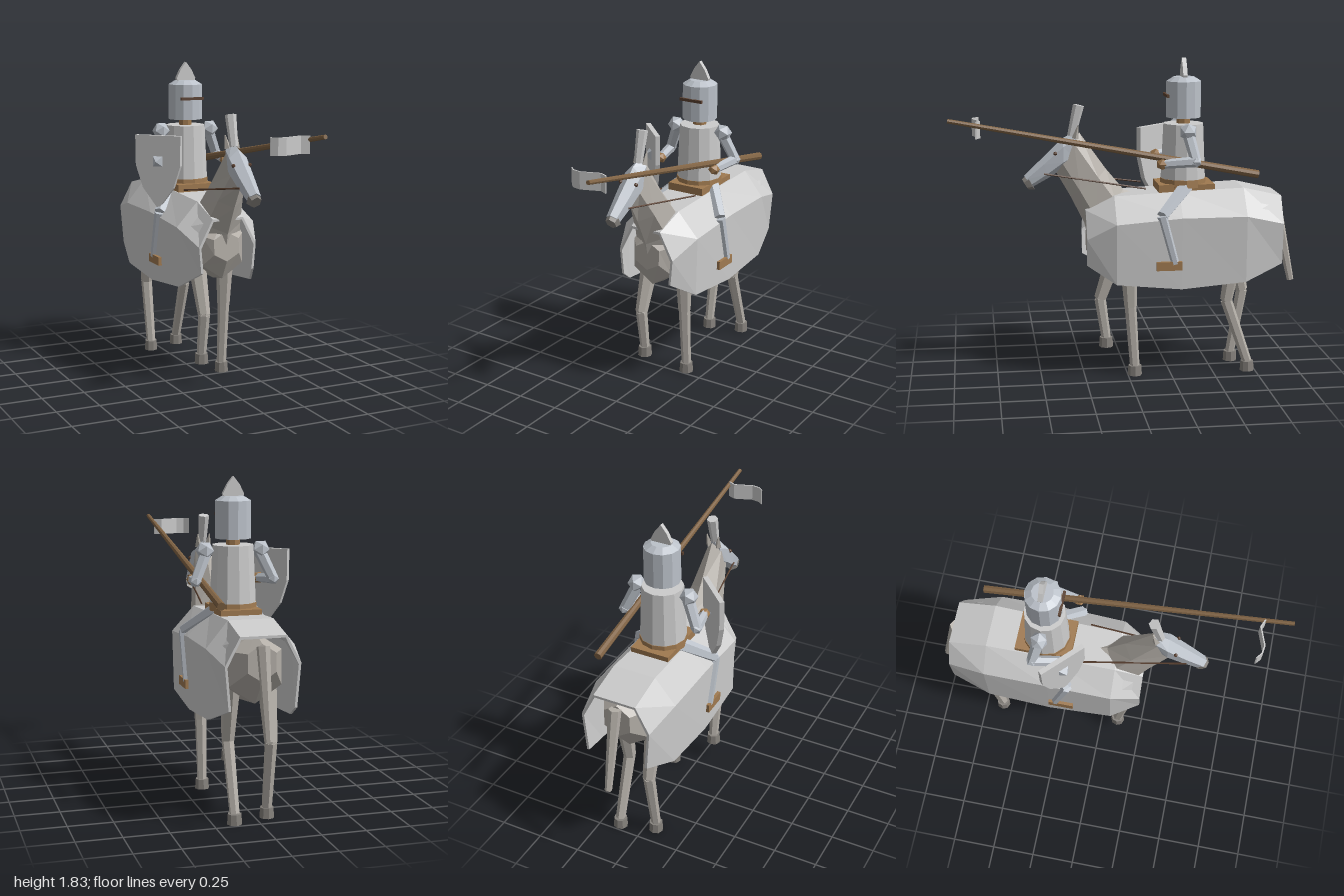
import * as THREE from 'three';

const mat = (color, side = THREE.FrontSide) =>
  new THREE.MeshStandardMaterial({ color, flatShading: true, side });
const GREY = mat(0xcccccc), CLOTH = mat(0xcccccc, THREE.DoubleSide);
const COAT = mat(0xb4afa8), HOOF = mat(0x85817c), STEEL = mat(0xbcc2ca);
const LEATHER = mat(0xa07a50), WOOD = mat(0x806344), DARK = mat(0x5a4030);
const V = (x, y, z) => new THREE.Vector3(x, y, z);

function add(parent, name, geometry, material, x = 0, y = 0, z = 0) {
  const mesh = new THREE.Mesh(geometry, material);
  mesh.name = name;
  mesh.position.set(x, y, z);
  parent.add(mesh);
  return mesh;
}

// Tapered rod between two points
function rod(parent, name, a, b, ra, rb, material, sides = 6) {
  const dir = b.clone().sub(a);
  const mesh = add(parent, name, new THREE.CylinderGeometry(rb, ra, dir.length(), sides), material);
  mesh.position.copy(a).addScaledVector(dir, 0.5);
  mesh.quaternion.setFromUnitVectors(V(0, 1, 0), dir.normalize());
  return mesh;
}

// Skin through closed rings of equal, even point count, with end caps
function loft(rings) {
  const n = rings[0].length, last = (rings.length - 1) * n, index = [];
  for (let i = 0; i < last; i += n) {
    for (let j = 0; j < n; j++) {
      const a = i + j, b = i + (j + 1) % n;
      index.push(a, b, b + n, a, b + n, a + n);
    }
  }
  for (let j = 0; j < n / 2 - 1; j++) {
    const [a, b, c, d] = [j, j + 1, n - 2 - j, n - 1 - j];
    index.push(a, c, b, a, d, c);
    index.push(last + a, last + b, last + c, last + a, last + c, last + d);
  }
  const g = new THREE.BufferGeometry().setFromPoints(rings.flat());
  g.setIndex(index);
  const flat = g.toNonIndexed();
  flat.computeVertexNormals();
  return flat;
}

// Six-sided ring from a lower point, an upper point and a half width
function ring([pz, py, qz, qy, w]) {
  return Array.from({ length: 6 }, (_, i) => {
    const t = Math.PI / 2 + i * Math.PI / 3, s = Math.sin(t);
    return V(Math.cos(t) * w * 1.12, (py + qy + (qy - py) * s) / 2, (pz + qz + (qz - pz) * s) / 2);
  });
}

function buildHorse(root) {
  const horse = new THREE.Group();
  horse.name = 'horse';
  root.add(horse);

  add(horse, 'body', loft([
    [-0.86, 0.80, -0.86, 1.00, 0.08], [-0.74, 0.66, -0.74, 1.04, 0.15],
    [-0.30, 0.60, -0.30, 1.04, 0.17], [0.05, 0.60, 0.05, 1.02, 0.15],
    [0.17, 0.62, 0.17, 0.96, 0.13], [0.23, 0.73, 0.22, 0.90, 0.08],
  ].map(ring)), COAT);
  add(horse, 'neck', loft([
    [0.21, 0.76, -0.07, 1.05, 0.13], [0.24, 0.89, 0.015, 1.08, 0.11],
    [0.32, 1.05, 0.115, 1.20, 0.08], [0.40, 1.19, 0.265, 1.41, 0.045],
  ].map(ring)), COAT);
  add(horse, 'head', loft([
    [0.31, 1.23, 0.28, 1.42, 0.042], [0.36, 1.205, 0.36, 1.38, 0.055],
    [0.44, 1.155, 0.48, 1.265, 0.046], [0.53, 1.105, 0.58, 1.17, 0.034],
  ].map(ring)), STEEL);
  add(horse, 'muzzle', loft([
    [0.52, 1.09, 0.565, 1.175, 0.037], [0.555, 1.09, 0.592, 1.15, 0.03],
  ].map(ring)), HOOF);
  rod(horse, 'headCrest', V(0, 1.39, 0.31), V(0, 1.565, 0.268), 0.024, 0.032, GREY);
  rod(horse, 'tail', V(0, 0.99, -0.875), V(0, 0.515, -0.98), 0.036, 0.02, COAT);

  for (const s of [-1, 1]) {
    rod(horse, 'ear', V(s * 0.028, 1.38, 0.29), V(s * 0.036, 1.455, 0.275), 0.02, 0.003, COAT, 4);
    add(horse, 'eye', new THREE.IcosahedronGeometry(0.012), DARK, s * 0.05, 1.3, 0.405);
    rod(horse, 'rein', V(s * 0.045, 1.185, 0.47), V(s * 0.115, 1.1, -0.1), 0.005, 0.005, DARK, 4);
  }

  // Legs: side, hip, knee and fetlock as [y, z]
  for (const [name, s, hip, knee, foot] of [
    ['frontLegRaised', -1, [0.76, 0.02], [0.41, 0.14], [0.17, 0.105]],
    ['frontLeg', 1, [0.76, 0.0], [0.41, -0.015], [0.055, -0.04]],
    ['backLeg', -1, [0.80, -0.62], [0.435, -0.71], [0.055, -0.645]],
    ['backLeg', 1, [0.80, -0.64], [0.43, -0.575], [0.055, -0.705]],
  ]) {
    const leg = new THREE.Group();
    leg.name = name;
    horse.add(leg);
    const [h, k, f] = [hip, knee, foot].map(([y, z]) => V(s * 0.1, y, z));
    rod(leg, 'upperLeg', h, k, 0.056, 0.036, COAT);
    add(leg, 'knee', new THREE.IcosahedronGeometry(0.033), COAT, k.x, k.y, k.z);
    rod(leg, 'lowerLeg', k, f, 0.034, 0.028, COAT);
    add(leg, 'hoof', new THREE.CylinderGeometry(0.038, 0.042, 0.058, 8), HOOF, f.x, f.y - 0.026, f.z);
  }

  // Draped cloth: z, top y, top half, fold y, fold half, hem y, hem half
  const cloth = [
    [-0.88, 1.045, 0.125, 0.895, 0.205, 0.66, 0.185],
    [-0.66, 1.095, 0.125, 0.95, 0.245, 0.57, 0.235],
    [-0.29, 1.08, 0.12, 0.95, 0.248, 0.54, 0.24],
    [0.08, 1.06, 0.115, 0.92, 0.243, 0.575, 0.235],
    [0.24, 0.98, 0.095, 0.825, 0.178, 0.675, 0.165],
  ].map(([z, ty, tx, fy, fx, hy, hx]) => {
    const t = 0.014;
    const outer = [V(hx, hy, z), V(fx, fy, z), V(tx, ty, z), V(-tx, ty, z), V(-fx, fy, z), V(-hx, hy, z)];
    const inner = [V(-hx + t, hy, z), V(-fx + t, fy - t / 2, z), V(-tx + t / 2, ty - t, z),
      V(tx - t / 2, ty - t, z), V(fx - t, fy - t / 2, z), V(hx - t, hy, z)];
    return [...outer, ...inner];
  });
  add(horse, 'horseCloth', loft(cloth), CLOTH);
  add(horse, 'saddle', new THREE.BoxGeometry(0.23, 0.045, 0.32), LEATHER, 0, 1.095, -0.335);
}

function buildRider(root) {
  const rider = new THREE.Group();
  rider.name = 'rider';
  root.add(rider);
  const z = -0.33;

  add(rider, 'belt', new THREE.CylinderGeometry(0.132, 0.135, 0.045, 12), LEATHER, 0, 1.12, z);
  add(rider, 'torso', new THREE.CylinderGeometry(0.115, 0.13, 0.33, 12), GREY, 0, 1.29, z);
  add(rider, 'neck', new THREE.CylinderGeometry(0.04, 0.04, 0.07, 8), LEATHER, 0, 1.475, z);
  add(rider, 'helmet', new THREE.CylinderGeometry(0.1, 0.1, 0.205, 12), STEEL, 0, 1.592, z);
  add(rider, 'helmetTop', new THREE.CylinderGeometry(0.06, 0.1, 0.025, 12), STEEL, 0, 1.706, z);
  add(rider, 'visorSlit', new THREE.BoxGeometry(0.145, 0.016, 0.014), DARK, 0, 1.615, z + 0.1);

  // Leaf-shaped crest
  const leaf = new THREE.Shape([[-0.05, 0], [0.05, 0], [0.06, 0.03], [0.035, 0.08], [0, 0.125],
    [-0.035, 0.08], [-0.06, 0.03]].map(([x, y]) => new THREE.Vector2(x, y)));
  add(rider, 'helmetCrest', new THREE.ExtrudeGeometry(leaf, { depth: 0.025, bevelEnabled: false }),
    GREY, 0, 1.7, z - 0.0125);

  for (const s of [-1, 1]) {
    // Arm
    const shoulder = V(s * 0.15, 1.42, z), elbow = V(s * 0.22, 1.265, -0.365);
    const hand = s > 0 ? V(0.19, 1.25, -0.18) : V(-0.185, 1.25, -0.2);
    add(rider, 'shoulderPlate', new THREE.IcosahedronGeometry(0.052), STEEL, s * 0.158, 1.425, z);
    rod(rider, 'upperArm', shoulder, elbow, 0.034, 0.03, STEEL);
    add(rider, 'elbowPlate', new THREE.IcosahedronGeometry(0.034), STEEL, elbow.x, elbow.y, elbow.z);
    rod(rider, 'forearm', elbow, hand, 0.03, 0.026, STEEL);
    add(rider, 'hand', new THREE.IcosahedronGeometry(0.034), LEATHER, hand.x, hand.y, hand.z);
    // Leg
    const knee = V(s * 0.238, 0.965, -0.175);
    rod(rider, 'thigh', V(s * 0.09, 1.1, z), knee, 0.045, 0.034, STEEL);
    rod(rider, 'shin', knee, V(s * 0.24, 0.69, -0.25), 0.03, 0.024, STEEL);
    add(rider, 'foot', new THREE.BoxGeometry(0.06, 0.05, 0.145), LEATHER, s * 0.23, 0.68, -0.215);
  }
}

function buildArms(root) {
  // Lance and pennant
  rod(root, 'lance', V(0.18, 1.18, -0.73), V(0.17, 1.508, 0.998), 0.023, 0.012, WOOD, 8);
  const wave = [[0.168, 0.845], [0.125, 0.825], [0.02, 0.862], [-0.025, 0.855], [-0.055, 0.83]];
  add(root, 'pennant', loft(wave.map(([x, z]) => [V(x, 1.405, z - 0.004), V(x, 1.5, z - 0.004),
    V(x, 1.5, z + 0.004), V(x, 1.405, z + 0.004)])), CLOTH);

  // Shield
  const shield = new THREE.Group();
  shield.name = 'shield';
  shield.position.set(-0.225, 0, -0.2);
  shield.rotation.y = -Math.PI / 4;
  root.add(shield);
  const outline = [[-0.14, 1.415], [-0.138, 1.24], [-0.095, 1.11], [0, 0.985],
    [0.095, 1.11], [0.138, 1.24], [0.14, 1.415]].map(([x, y]) => new THREE.Vector2(x, y));
  add(shield, 'shieldBoard', new THREE.ExtrudeGeometry(new THREE.Shape(outline),
    { depth: 0.028, bevelEnabled: false }), GREY);
  const boss = add(shield, 'shieldBoss', new THREE.OctahedronGeometry(0.042, 0), STEEL, 0, 1.265, 0.028);
  boss.rotation.z = Math.PI / 4;
  boss.scale.z = 0.8;
}

export function createModel() {
  const model = new THREE.Group();
  model.name = 'mountedKnight';
  const root = new THREE.Group();
  root.name = 'horseAndRider';
  root.position.x = 0.035;
  model.add(root);
  buildHorse(root);
  buildRider(root);
  buildArms(root);
  return model;
}
